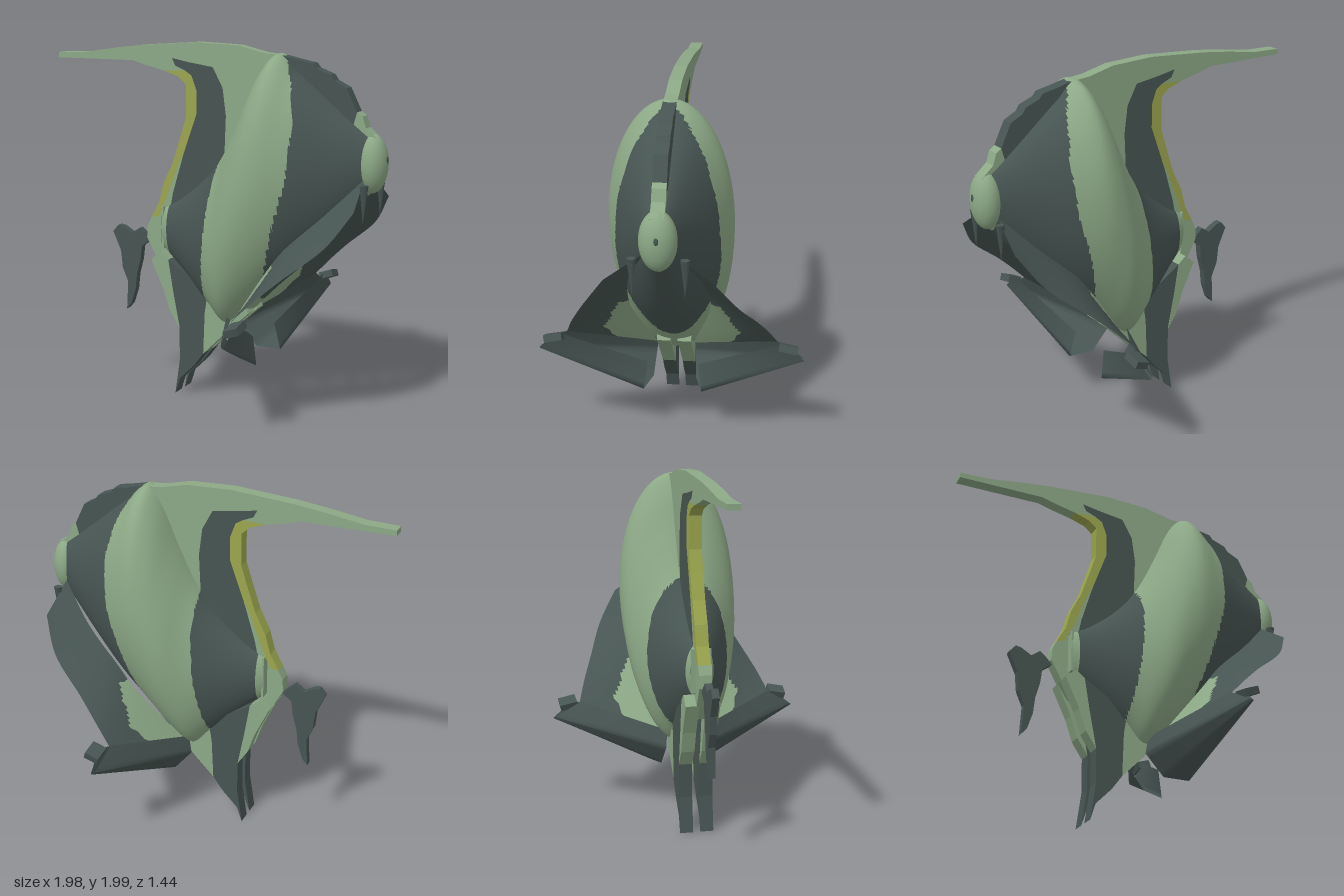
import * as THREE from 'three';

const paint = (name, color) => {
  const m = new THREE.MeshStandardMaterial({ color, side: THREE.DoubleSide });
  m.name = name;
  return m;
};

// Grid surface from point(u, v), with each triangle painted by colorAt(x, y, z)
function paintedGrid(nu, nv, point, materials, colorAt) {
  const pos = [], buckets = materials.map(() => []);
  for (let i = 0; i <= nu; i++)
    for (let j = 0; j <= nv; j++) pos.push(...point(i / nu, j / nv));
  const mid = (t, k) => (pos[t[0] * 3 + k] + pos[t[1] * 3 + k] + pos[t[2] * 3 + k]) / 3;
  for (let i = 0; i < nu; i++)
    for (let j = 0; j < nv; j++) {
      const a = i * (nv + 1) + j, b = a + nv + 1;
      for (const t of [[a, a + 1, b], [a + 1, b + 1, b]])
        buckets[colorAt(mid(t, 0), mid(t, 1), mid(t, 2))].push(...t);
    }
  const geo = new THREE.BufferGeometry();
  geo.setAttribute('position', new THREE.Float32BufferAttribute(pos, 3));
  geo.setIndex(buckets.flat());
  let start = 0;
  buckets.forEach((b, k) => { geo.addGroup(start, b.length, k); start += b.length; });
  geo.computeVertexNormals();
  return new THREE.Mesh(geo, materials);
}

// Linear lookup along [key, value] pairs
function along(pairs, k) {
  for (let i = 1; i < pairs.length; i++)
    if (k <= pairs[i][0]) {
      const [a, b] = [pairs[i - 1], pairs[i]];
      return THREE.MathUtils.lerp(a[1], b[1], THREE.MathUtils.clamp((k - a[0]) / (b[0] - a[0]), 0, 1));
    }
  return pairs[pairs.length - 1][1];
}

export function createModel() {
  const fish = new THREE.Group();
  fish.name = 'fish';
  const light = paint('paleGreen', 0x8ca886);
  const dark = paint('darkGreen', 0x475552);
  const yellow = paint('yellowGreen', 0x9ba64e);

  const add = (name, mesh) => { mesh.name = name; fish.add(mesh); return mesh; };
  const slab = (name, points, material, z0 = -0.035, z1 = 0.035) => {
    const shape = new THREE.Shape(points.map(p => new THREE.Vector2(...p)));
    const geo = new THREE.ExtrudeGeometry(shape, { depth: z1 - z0, bevelEnabled: false });
    return add(name, new THREE.Mesh(geo.translate(0, 0, z0), material));
  };

  // Body: oval sections along x, each row is x, top, bottom, half width
  const rows = [
    [-0.31, 1.08, 0.82, 0.06], [-0.2, 1.13, 0.72, 0.11], [0, 1.30, 0.52, 0.21],
    [0.1, 1.44, 0.43, 0.262], [0.2, 1.64, 0.5, 0.31], [0.3, 1.86, 0.6, 0.328],
    [0.38, 1.945, 0.68, 0.325], [0.5, 1.855, 0.79, 0.28], [0.7, 1.695, 1.0, 0.175],
    [0.85, 1.58, 1.18, 0.1], [0.93, 1.53, 1.27, 0.06],
  ];
  const section = new THREE.CubicInterpolant(rows.map(r => r[0]), rows.flatMap(r => r.slice(1)), 3);
  const rearStripe = [[0.35, -0.03], [0.6, -0.01], [0.9, 0.03], [1.2, 0.06], [1.6, 0.08]];
  const frontStripe = [[0.6, 0.3], [0.75, 0.37], [1.1, 0.47], [1.3, 0.53], [1.6, 0.55], [1.8, 0.5], [1.95, 0.42]];
  const bodyColor = (x, y) => {
    if (x < -0.27 || x > 0.89) return 0;
    if (x < along(rearStripe, y)) return 1;
    return x < along(frontStripe, y) ? 0 : 1;
  };
  add('body', paintedGrid(130, 72, (u, v) => {
    const x = THREE.MathUtils.lerp(-0.31, 0.93, u);
    const [top, bottom, w] = section.evaluate(x);
    const a = v * Math.PI * 2;
    return [x, (top + bottom) / 2 + Math.cos(a) * (top - bottom) / 2, -Math.sin(a) * w];
  }, [light, dark], bodyColor));
  slab('bodyEnd', [[-0.312, 0.83], [-0.3, 0.83], [-0.3, 1.07], [-0.312, 1.07]], light, -0.055, 0.055);

  // Snout and mouth
  const snout = add('snout', new THREE.Mesh(new THREE.SphereGeometry(1, 28, 20), light));
  snout.scale.set(0.08, 0.155, 0.095);
  snout.position.set(0.91, 1.395, 0);
  const mouth = add('mouth', new THREE.Mesh(new THREE.SphereGeometry(1, 12, 8), dark));
  mouth.scale.set(0.006, 0.02, 0.012);
  mouth.position.set(0.987, 1.42, 0);

  // Dorsal fin in coloured pieces
  slab('dorsalFin', [
    [-0.99, 1.91], [-0.82, 1.915], [-0.62, 1.945], [-0.45, 1.965], [-0.1, 1.99], [0.15, 1.98],
    [0.3, 1.945], [0.41, 1.935], [0.41, 1.75], [0.2, 1.4], [0.07, 1.35], [0.08, 1.6], [0.06, 1.75],
    [0.0, 1.86], [-0.14, 1.88], [-0.25, 1.9], [-0.23, 1.86], [-0.17, 1.835], [-0.3, 1.83],
    [-0.43, 1.86], [-0.5, 1.88], [-0.99, 1.88],
  ], light);
  slab('dorsalStripe', [
    [-0.25, 1.9], [-0.14, 1.88], [0.0, 1.86], [0.06, 1.75], [0.08, 1.6], [0.07, 1.35], [0, 1.1],
    [-0.27, 1.05], [-0.25, 1.15], [-0.19, 1.35], [-0.1, 1.6], [-0.1, 1.73], [-0.13, 1.81],
    [-0.17, 1.835], [-0.23, 1.86],
  ], dark);
  slab('dorsalTrailingEdge', [
    [-0.3, 1.83], [-0.17, 1.835], [-0.13, 1.81], [-0.1, 1.73], [-0.1, 1.6], [-0.18, 1.38],
    [-0.22, 1.3], [-0.29, 1.12], [-0.34, 1.01], [-0.39, 1.0], [-0.34, 1.09], [-0.31, 1.2],
    [-0.25, 1.32], [-0.2, 1.47], [-0.165, 1.58], [-0.165, 1.76], [-0.21, 1.8],
  ], yellow);
  slab('dorsalInnerEdge', [
    [-0.18, 1.38], [-0.22, 1.3], [-0.29, 1.12], [-0.32, 1.06], [-0.27, 1.05], [-0.25, 1.15],
  ], light);
  slab('dorsalFront', [
    [0.41, 1.935], [0.5, 1.915], [0.58, 1.9], [0.6, 1.875], [0.68, 1.845], [0.7, 1.815], [0.77, 1.78],
    [0.8, 1.72], [0.83, 1.66], [0.8, 1.55], [0.41, 1.75],
  ], dark);
  slab('dorsalBrow', [[0.83, 1.66], [0.86, 1.64], [0.88, 1.58], [0.95, 1.52], [0.9, 1.4], [0.8, 1.55]], light);

  // Tail root and tail
  slab('tailRoot', [
    [-0.325, 1.075], [-0.34, 1.01], [-0.39, 1.0], [-0.415, 0.95], [-0.42, 0.88], [-0.36, 0.77],
    [-0.3, 0.68], [-0.27, 0.75], [-0.3, 0.81], [-0.325, 0.83],
  ], light);
  slab('tail', [
    [-0.655, 0.89], [-0.62, 0.93], [-0.59, 0.925], [-0.53, 0.89], [-0.48, 0.925], [-0.45, 0.9],
    [-0.41, 0.86], [-0.465, 0.82], [-0.475, 0.74], [-0.5, 0.65], [-0.51, 0.56], [-0.54, 0.47],
    [-0.57, 0.435], [-0.56, 0.6], [-0.595, 0.68], [-0.605, 0.78],
  ], dark, -0.02, 0.02);

  for (const s of [1, -1]) {
    const side = s > 0 ? 'left' : 'right';
    const [z0, z1] = s > 0 ? [0.02, 0.095] : [-0.095, -0.02];

    // Paired lower fins, striped like the body
    slab(side + 'LowerFin', [
      [-0.25, 0.78], [-0.22, 0.6], [-0.18, 0.4], [-0.18, 0.2], [-0.21, 0.0], [-0.18, 0.09],
      [-0.09, 0.18], [-0.03, 0.26], [-0.02, 0.5], [0, 0.62],
    ], dark, z0, z1);
    slab(side + 'LowerFinEdge', [
      [-0.3, 0.82], [-0.36, 0.77], [-0.28, 0.6], [-0.24, 0.48], [-0.18, 0.39], [-0.22, 0.6], [-0.25, 0.78],
    ], light, z0, z1);
    slab(side + 'LowerFinFront', [
      [-0.03, 0.26], [0.05, 0.34], [0.12, 0.41], [0.25, 0.53], [0.2, 0.62], [0, 0.62], [-0.02, 0.5],
    ], light, z0, z1);

    // Swept side fin: sheet between inner, ridge and outer rails
    const rail = pts => new THREE.CatmullRomCurve3(pts.map(([x, y, z]) => new THREE.Vector3(x, y, z * s)));
    const loft = (rails, colorAt, nu = 40) => paintedGrid(nu, 20, (u, v) => {
      const k = Math.min(Math.floor(v * (rails.length - 1)), rails.length - 2);
      return rails[k].getPoint(u).lerp(rails[k + 1].getPoint(u), v * (rails.length - 1) - k).toArray();
    }, [light, dark], colorAt);
    add(side + 'SideFin', loft([
      rail([[0.89, 1.32, 0.07], [0.7, 1.12, 0.17], [0.5, 0.93, 0.215], [0.4, 0.8, 0.21], [0.16, 0.48, 0.1]]),
      rail([[0.91, 1.18, 0.27], [0.8, 1.01, 0.38], [0.6, 0.84, 0.47], [0.48, 0.73, 0.525], [0.37, 0.62, 0.57]]),
    ], (x, y, z) => (Math.abs(z) < 0.37 - Math.abs(y - 0.65) * 0.5 && y < 0.85 ? 0 : 1)));
    const barb = add(side + 'FinBarb', new THREE.Mesh(new THREE.ConeGeometry(0.025, 0.2, 5), dark));
    barb.position.set(0.91, 1.2, 0.13 * s);
    barb.rotation.x = Math.PI;

    // Folded outer wing below the side fin
    add(side + 'OuterWing', loft([
      rail([[0.12, 0.5, 0.1], [0.37, 0.63, 0.56]]),
      rail([[0.1, 0.4, 0.11], [0.39, 0.54, 0.71]]),
      rail([[0.2, 0.28, 0.12], [0.4, 0.53, 0.72]]),
      rail([[0.33, 0.265, 0.16], [0.41, 0.53, 0.72]]),
      rail([[0.3, 0.42, 0.14], [0.42, 0.63, 0.6]]),
    ], () => 1, 12));
    const tip = add(side + 'WingTip', new THREE.Mesh(new THREE.BoxGeometry(0.08, 0.04, 0.1), dark));
    tip.position.set(0.43, 0.61, 0.63 * s);
    tip.rotation.set(0.2 * s, 0, 0.35);
  }
  return fish;
}
